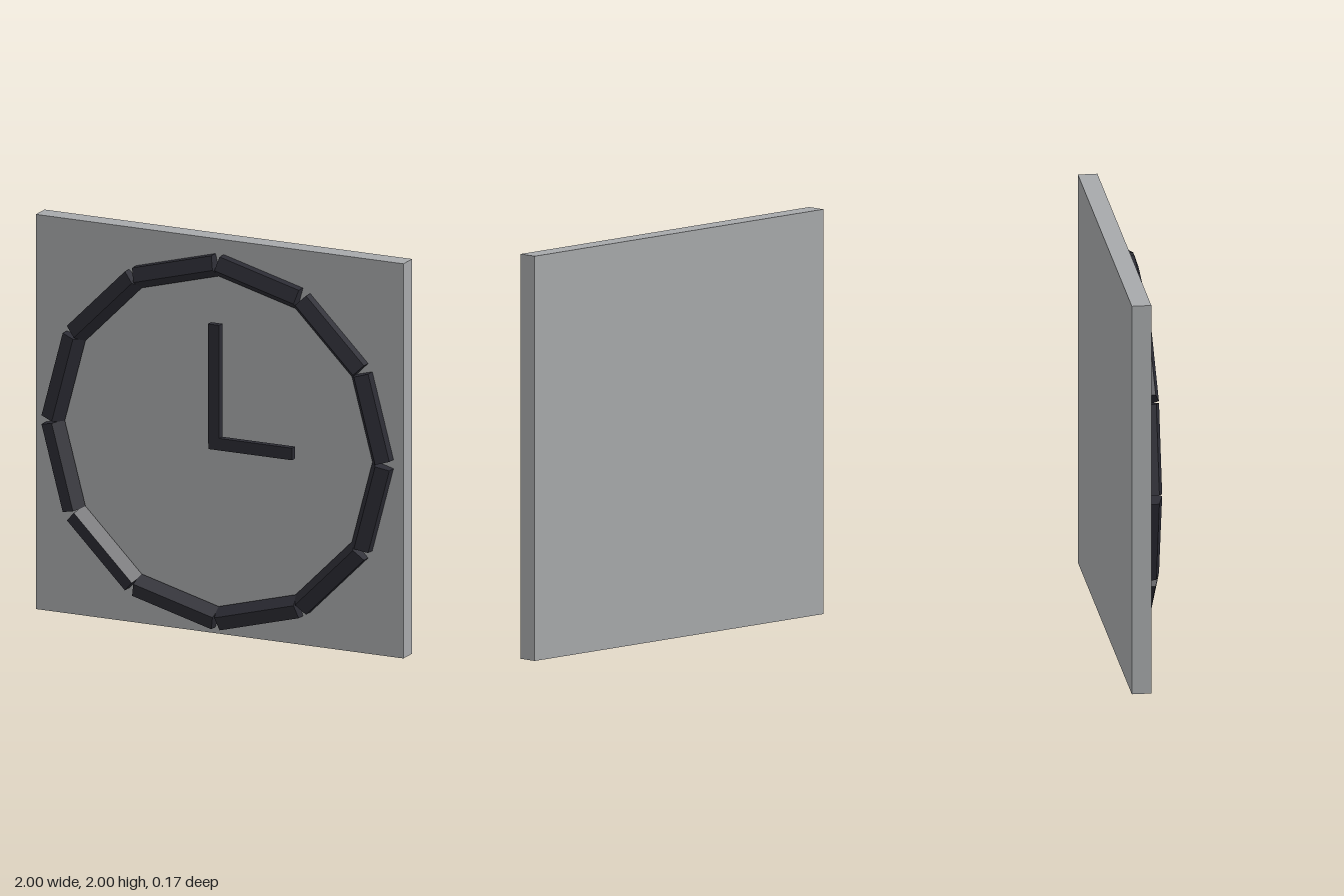
import * as THREE from 'three';

export function createModel() {
  const model = new THREE.Group();
  const paleGrey = new THREE.MeshStandardMaterial({ color: 0xa7a9ab });
  const charcoal = new THREE.MeshStandardMaterial({ color: 0x2b2b33 });
  const centreY = 0.978;

  // Axis-aligned box given by its minimum and maximum corners
  const addBox = (name, material, min, max) => {
    const size = max.map((v, i) => v - min[i]);
    const mesh = new THREE.Mesh(new THREE.BoxGeometry(...size), material);
    mesh.position.set(...max.map((v, i) => (v + min[i]) / 2));
    mesh.name = name;
    model.add(mesh);
  };

  // Square backing board
  addBox('board', paleGrey, [-1, 0, -0.0825], [1, 2, 0.0135]);

  // Clock hands, standing slightly off the board
  addBox('minuteHand', charcoal, [-0.031, centreY, 0.045], [0.03, 1.583, 0.08]);
  addBox('hourHand', charcoal, [-0.028, 0.949, 0.045], [0.426, 1.01, 0.079]);

  // Rim of twelve straight five-sided bars, with a flat side facing outward
  const bar = new THREE.CylinderGeometry(0.0616, 0.0616, 0.446, 5, 1, false, -Math.PI / 2)
    .rotateZ(Math.PI / 2)
    .translate(0, 0.87, 0.024)
    .toNonIndexed();
  bar.computeVertexNormals();

  const rim = new THREE.Group();
  rim.name = 'rim';
  rim.position.y = centreY;
  for (let i = 0; i < 12; i++) {
    const mesh = new THREE.Mesh(bar, charcoal);
    mesh.name = 'rimBar';
    mesh.rotation.z = (i + 0.5) * Math.PI / 6;
    rim.add(mesh);
  }
  model.add(rim);
  return model;
}
